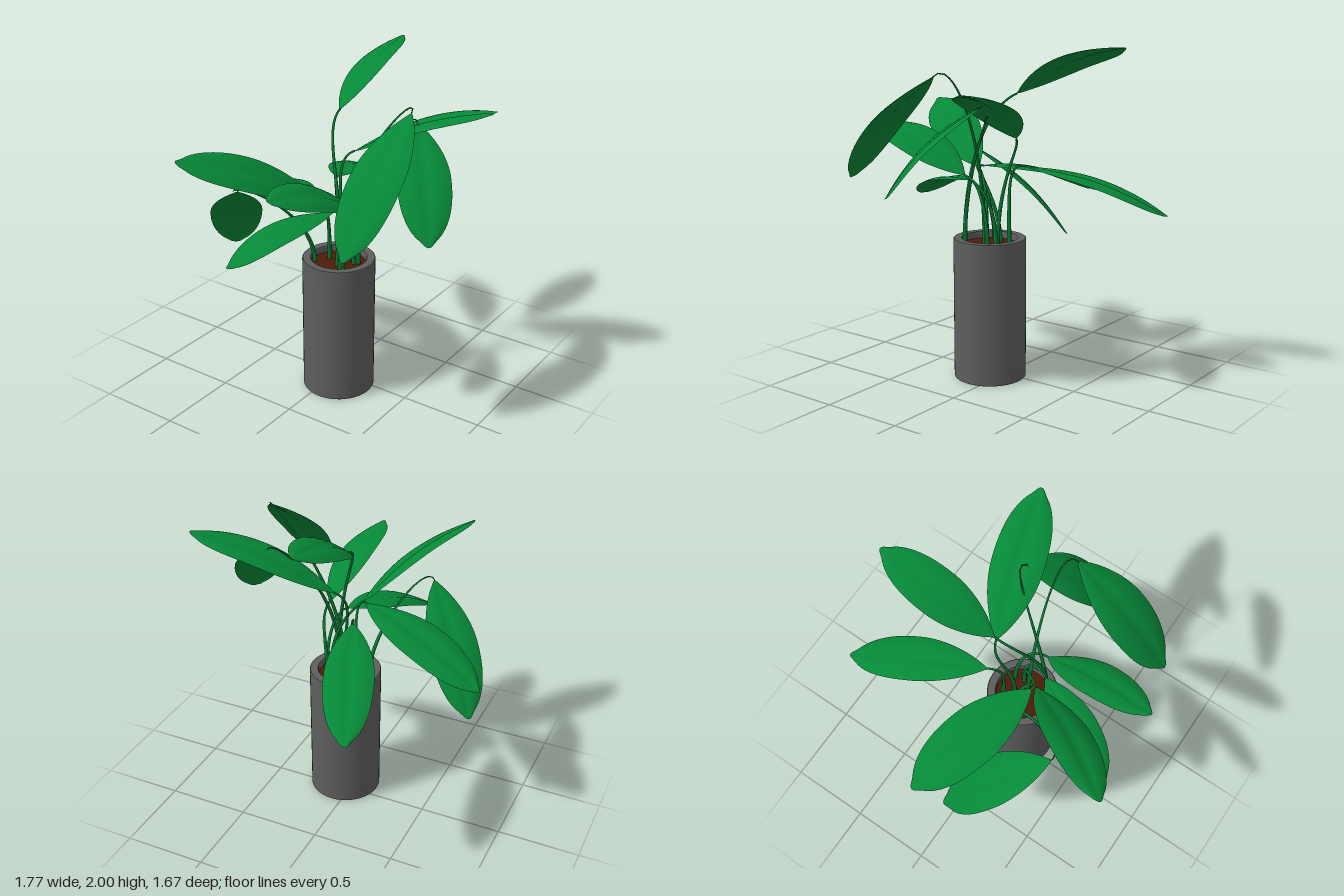
import * as THREE from 'three';

const UP = new THREE.Vector3(0, 1, 0);
const soilY = 0.82;

const green = new THREE.MeshStandardMaterial({ color: 0x068838, side: THREE.DoubleSide });
const stemGreen = new THREE.MeshStandardMaterial({ color: 0x067a34 });
const potGrey = new THREE.MeshStandardMaterial({ color: 0x5e5e5e });
const soilBrown = new THREE.MeshStandardMaterial({ color: 0x4e1c08 });

// Each shoot: foot in the soil (x, z), leaf base, leaf tip, leaf width, stem bend, optional leaf roll
const shoots = [
  { foot: [-0.05, -0.02], base: [-0.18, 1.27, -0.03], tip: [0.09, 1.03, -0.84], width: 0.34, bend: 0.12 },
  { foot: [-0.13, -0.07], base: [-0.51, 1.33, -0.33], tip: [-0.05, 0.73, -0.75], width: 0.31, bend: 0.15 },
  { foot: [-0.03, 0.14], base: [-0.2, 1.27, 0], tip: [-0.88, 1.6, -0.44], width: 0.29, bend: 0.15, roll: -0.45 },
  { foot: [-0.01, 0.16], base: [-0.2, 1.2, 0.1], tip: [-0.8, 1.01, -0.18], width: 0.26, bend: 0.12 },
  { foot: [0.03, 0.13], base: [-0.15, 1.25, 0.2], tip: [-0.84, 1.5, 0.15], width: 0.28, bend: 0.15, roll: -0.35 },
  { foot: [-0.1, 0.07], base: [-0.09, 1.84, 0.54], tip: [-0.73, 1.22, 0.54], width: 0.32, bend: 0.2 },
  { foot: [-0.19, 0.15], base: [0.17, 1.69, 0.43], tip: [-0.25, 1.18, 0.77], width: 0.3, bend: 0.18 },
  { foot: [-0.02, 0.05], base: [0.11, 1.47, 0.05], tip: [0.34, 1.79, 0.83], width: 0.3, bend: 0.15 },
  { foot: [0.03, 0], base: [0.1, 1.285, -0.07], tip: [0.88, 1.03, -0.38], width: 0.28, bend: 0.13 },
  { foot: [-0.18, 0.16], base: [0.07, 1.72, -0.03], tip: [0.77, 2, -0.05], width: 0.26, bend: 0.2, roll: -0.3 },
];

// Half-width of a leaf along its length: tapered base, blunt rounded tip
function outline(t) {
  const full = t < 0.5
    ? Math.pow(Math.sin(Math.PI * t), 0.75)
    : Math.pow(Math.max(0, 1 - Math.pow(2 * t - 1, 2.4)), 0.6);
  return Math.max(0.06 + 0.12 * t, full);
}

// Leaf blade: a plane bent into an arched blade with a grooved midrib
function leafGeometry(start, along, dir, width, roll) {
  const side = dir.clone().cross(UP).normalize().applyAxisAngle(dir, roll);
  const normal = side.clone().cross(dir);
  const g = new THREE.PlaneGeometry(2, 1, 10, 32), pos = g.attributes.position, p = new THREE.Vector3();
  for (let i = 0; i < pos.count; i++) {
    const s = pos.getX(i), t = pos.getY(i) + 0.5;
    const half = width / 2 * outline(t);
    const rise = half * (0.22 * Math.pow(Math.abs(s), 0.7) - 0.28 * s * s) + 0.05 * Math.sin(Math.PI * t);
    const end = t - (t > 0.5 ? 0.05 * (t - 0.5) * s * s : 0);
    p.copy(start).addScaledVector(along, end).addScaledVector(side, s * half).addScaledVector(normal, rise);
    pos.setXYZ(i, p.x, p.y, p.z);
  }
  g.computeVertexNormals();
  return g;
}

// Stem: a tapering tube that leaves the soil upright and runs smoothly into the leaf
function stemGeometry(foot, start, dir, bend) {
  const root = new THREE.Vector3(foot[0], soilY - 0.02, foot[1]);
  const curve = new THREE.CubicBezierCurve3(root,
    root.clone().addScaledVector(UP, 0.65 * (start.y - root.y)),
    start.clone().addScaledVector(dir, -bend), start);
  const n = 32, sides = 8, r0 = 0.014, r1 = dir.y < -0.6 ? 0.0035 : 0.006;
  const g = new THREE.TubeGeometry(curve, n, r0, sides), pos = g.attributes.position;
  const p = new THREE.Vector3();
  for (let i = 0; i <= n; i++) {
    const c = curve.getPointAt(i / n), k = THREE.MathUtils.lerp(1, r1 / r0, i / n);
    for (let j = 0; j <= sides; j++) {
      const id = i * (sides + 1) + j;
      p.fromBufferAttribute(pos, id).sub(c).multiplyScalar(k).add(c);
      pos.setXYZ(id, p.x, p.y, p.z);
    }
  }
  return g;
}

export function createModel() {
  const model = new THREE.Group();
  model.name = 'pottedPlant';
  const add = (parent, name, geometry, material) => {
    const mesh = new THREE.Mesh(geometry, material);
    mesh.name = name;
    parent.add(mesh);
    return mesh;
  };

  // Pot: hollow cylinder turned as separate bands to keep the edges crisp
  const pot = new THREE.Group();
  pot.name = 'pot';
  pot.position.set(-0.07, 0, 0.06);
  const bands = {
    potBottom: [[0, 0], [0.213, 0]],
    potOuterWall: [[0.213, 0], [0.217, 0.004], [0.217, 0.856], [0.213, 0.86]],
    potRim: [[0.213, 0.86], [0.168, 0.86]],
    potInnerWall: [[0.168, 0.86], [0.163, 0.853], [0.163, 0.78]],
  };
  for (const [name, pts] of Object.entries(bands))
    add(pot, name, new THREE.LatheGeometry(pts.map((p) => new THREE.Vector2(...p)), 48), potGrey);

  // Soil
  const soil = add(pot, 'soil', new THREE.CircleGeometry(0.165, 48), soilBrown);
  soil.rotation.x = -Math.PI / 2;
  soil.position.y = soilY;
  model.add(pot);

  // Leaves with their stems
  for (const { foot, base, tip, width, bend, roll = 0 } of shoots) {
    const start = new THREE.Vector3(...base);
    const along = new THREE.Vector3(...tip).sub(start), dir = along.clone().normalize();
    const shoot = new THREE.Group();
    shoot.name = 'shoot';
    add(shoot, 'leaf', leafGeometry(start, along, dir, width, roll), green);
    add(shoot, 'stem', stemGeometry(foot, start, dir, bend), stemGreen);
    model.add(shoot);
  }
  return model;
}
